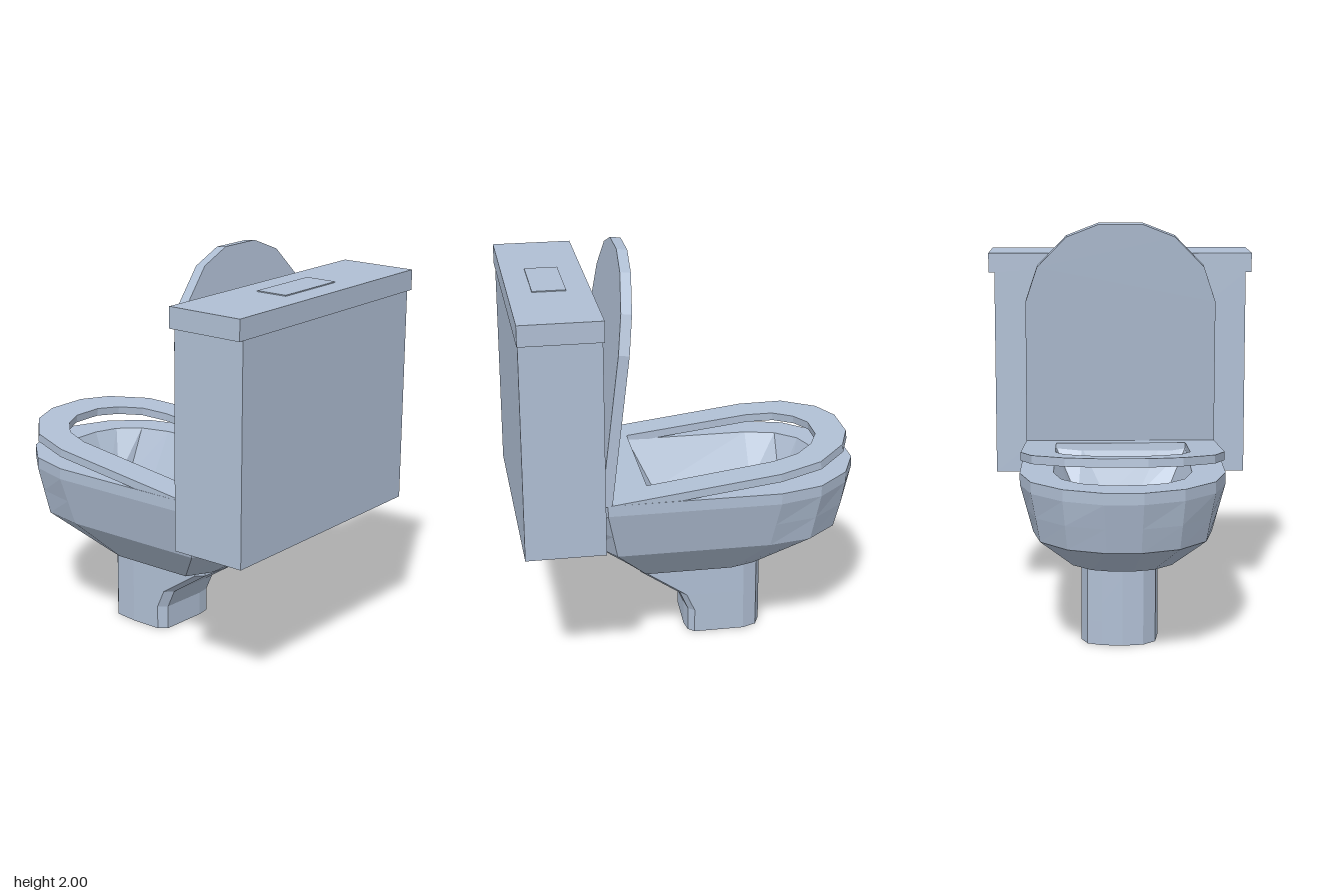
import * as THREE from 'three';

// Skin a stack of equal-length rings [x, y, z] (counterclockwise from above), capped at both ends
function loft(rings) {
  const n = rings[0].length, pos = [];
  const centre = r => [0, 1, 2].map(k => r.reduce((s, p) => s + p[k], 0) / n);
  const tri = (...p) => p.forEach(q => pos.push(...q));
  const first = rings[0], last = rings[rings.length - 1];
  const c0 = centre(first), c1 = centre(last);
  for (let i = 0; i < n; i++) {
    const j = (i + 1) % n;
    tri(c0, first[j], first[i]);
    for (let k = 0; k + 1 < rings.length; k++) {
      const a = rings[k], b = rings[k + 1];
      tri(a[i], a[j], b[j]);
      tri(a[i], b[j], b[i]);
    }
    tri(c1, last[i], last[j]);
  }
  const g = new THREE.BufferGeometry();
  g.setAttribute('position', new THREE.Float32BufferAttribute(pos, 3));
  g.computeVertexNormals();
  return g;
}

// Mirror a half outline across x = 0
const mirror = half => [...half, ...half.map(([x, y]) => [-x, y]).reverse()];
const ring = (y, half) => mirror(half).map(([x, z]) => [x, y, z]);
const toPoints = half => mirror(half).map(([x, y]) => new THREE.Vector2(x, y));

// Flat plate hinged at its local origin
function plate(outline, hole, depth) {
  const shape = new THREE.Shape(toPoints(outline));
  if (hole) shape.holes.push(new THREE.Path(toPoints(hole)));
  return new THREE.ExtrudeGeometry(shape, { depth, bevelEnabled: false });
}

export function createModel() {
  const group = new THREE.Group();
  const ceramic = new THREE.MeshStandardMaterial({ color: 0xb0bfd4 });
  ceramic.name = 'ceramic';

  function add(name, geometry, x = 0, y = 0, z = 0) {
    const mesh = new THREE.Mesh(geometry, ceramic);
    mesh.name = name;
    mesh.position.set(x, y, z);
    group.add(mesh);
    return mesh;
  }

  // Water tank with overhanging cover and flush button
  add('tank', new THREE.BoxGeometry(1.3, 1.05, 0.38), 0, 1.21, 0.66);
  add('tankCover', new THREE.BoxGeometry(1.36, 0.1, 0.39), 0, 1.785, 0.66);
  add('flushButton', new THREE.BoxGeometry(0.39, 0.008, 0.16), 0, 1.836, 0.66);

  // Bowl: outside from the bottom up, over the rim, then down the inside to the floor
  const rim = [[0.4, 0.47], [0.49, 0.44], [0.49, -0.4], [0.43, -0.61], [0.28, -0.77], [0.09, -0.85]];
  add('bowl', loft([
    ring(0.385, [[0.15, 0.3], [0.28, 0.23], [0.28, -0.2], [0.24, -0.32], [0.15, -0.41], [0.05, -0.44]]),
    ring(0.565, [[0.28, 0.49], [0.43, 0.39], [0.43, -0.36], [0.39, -0.57], [0.26, -0.72], [0.08, -0.79]]),
    ring(0.685, [[0.34, 0.525], [0.46, 0.415], [0.46, -0.38], [0.41, -0.59], [0.27, -0.75], [0.085, -0.82]]),
    ring(0.805, rim),
    ring(0.86, rim),
    ring(0.86, [[0.2, 0.235], [0.33, 0.23], [0.33, -0.39], [0.29, -0.54], [0.2, -0.64], [0.08, -0.68]]),
    ring(0.62, [[0.08, 0.15], [0.22, 0.11], [0.21, -0.4], [0.2, -0.55], [0.14, -0.575], [0.08, -0.59]]),
    ring(0.53, [[0.08, 0.13], [0.2, 0.09], [0.2, -0.36], [0.19, -0.4], [0.14, -0.41], [0.08, -0.42]]),
  ]));

  // Pedestal: faceted column whose rear side sweeps out towards the tank
  const foot = [[-0.14, 0], [0.1, 0.01], [0.17, 0], [0.2, -0.03], [0.2, -0.28], [0.17, -0.35],
    [0.1, -0.38], [0, -0.39], [-0.1, -0.375], [-0.16, -0.32], [-0.175, -0.2], [-0.175, -0.04]];
  const sweep = [[0, 0], [0.12, 0], [0.21, 0.04], [0.345, 0.24], [0.39, 0.24]];
  add('pedestal', loft(sweep.map(([y, s]) => foot.map(([x, z]) => [x, y, z > -0.1 ? z + s : z]))));

  // Seat ring, slightly raised at the front
  const tilt = THREE.MathUtils.degToRad(7);
  const seat = add('seat', plate(
    [[0.49, 0], [0.485, 0.82], [0.425, 1.03], [0.27, 1.18], [0.11, 1.24]],
    [[0.33, 0.19], [0.32, 0.82], [0.28, 0.95], [0.19, 1.04], [0.08, 1.09]], 0.04), 0, 0.82, 0.415);
  seat.rotation.x = tilt - Math.PI / 2;

  // Open lid, leaning over the seat
  const lid = add('lid', plate(
    [[0.49, 0], [0.485, 0.75], [0.425, 0.93], [0.275, 1.085], [0.11, 1.15]], null, 0.052), 0, 0.852, 0.42);
  lid.rotation.x = -tilt;

  return group;
}
